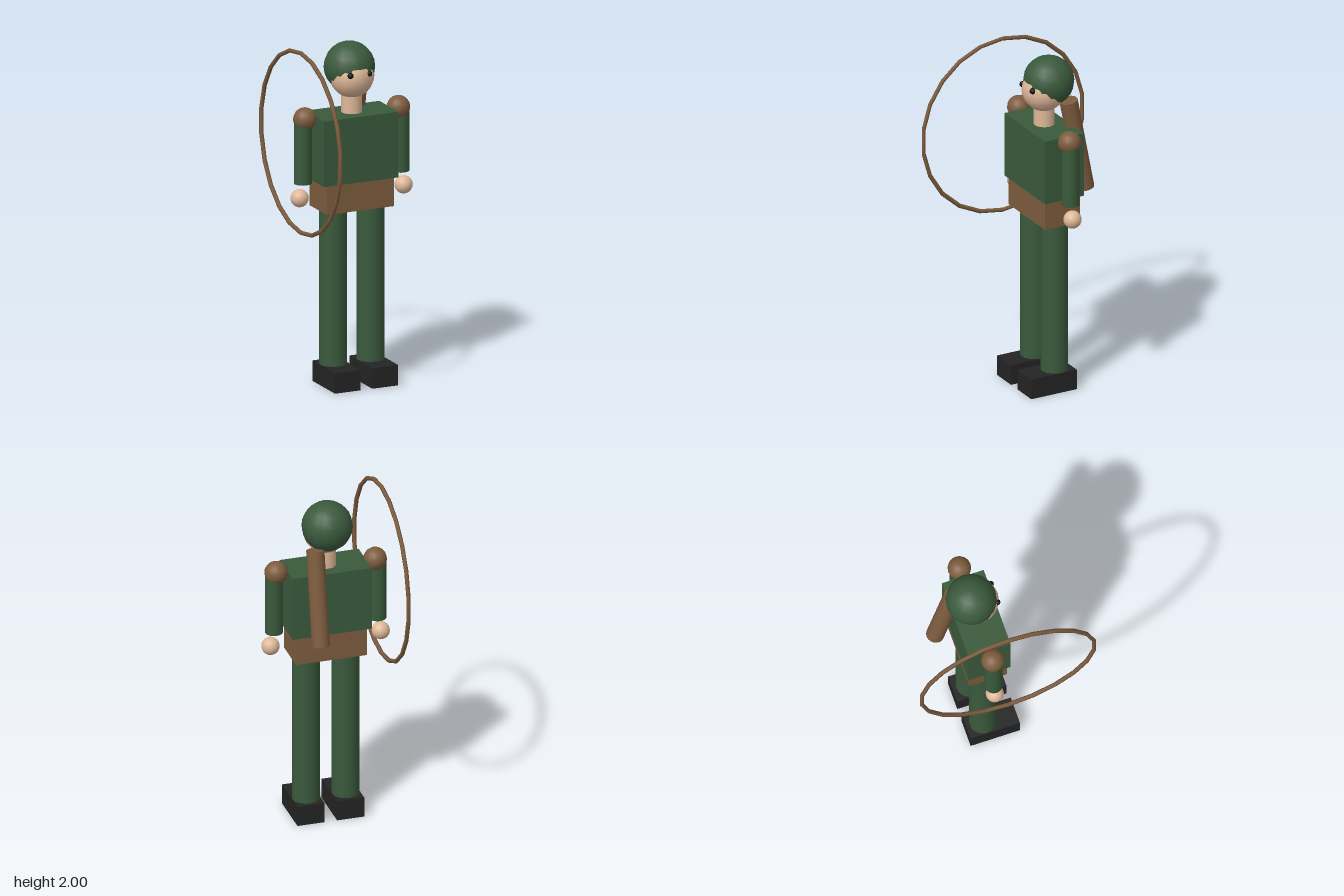
import * as THREE from 'three';

export function createModel() {
  const model = new THREE.Group();
  model.name = 'archer';
  const mat = (name, color) => {
    const m = new THREE.MeshStandardMaterial({ color });
    m.name = name;
    return m;
  };
  const green = mat('forest green', 0x3a5a3c);
  const brown = mat('leather brown', 0x7d5c3e);
  const skin = mat('skin', 0xdfb898);
  const black = mat('boot black', 0x242424);
  const dark = mat('eye black', 0x141414);

  const add = (name, geometry, material, x, y, z) => {
    const mesh = new THREE.Mesh(geometry, material);
    mesh.name = name;
    mesh.position.set(x, y, z);
    model.add(mesh);
    return mesh;
  };
  const box = (w, h, d) => new THREE.BoxGeometry(w, h, d);
  const ball = (r) => new THREE.SphereGeometry(r, 16, 12);
  const rod = (r, h) => new THREE.CylinderGeometry(r, r, h, 16);
  const Z = -0.07; // body axis

  // Trunk
  add('torso', box(0.468, 0.385, 0.25), green, 0, 1.392, Z);
  add('belt', box(0.42, 0.17, 0.225), brown, 0, 1.115, Z);

  // Neck, head and cap of hair
  add('neck', rod(0.06, 0.14), skin, 0, 1.65, Z);
  add('head', ball(0.128), skin, 0, 1.798, -0.068);
  add('cap', ball(0.146), green, 0, 1.842, -0.099);

  // Limbs, mirrored
  for (const [side, s] of [['left', 1], ['right', -1]]) {
    add(side + 'Eye', new THREE.SphereGeometry(0.018, 10, 8), dark, s * 0.058, 1.826, 0.037);
    add(side + 'Shoulder', ball(0.067), brown, s * 0.293, 1.575, Z);
    add(side + 'Arm', rod(0.051, 0.385), green, s * 0.306, 1.392, Z);
    add(side + 'Hand', ball(0.052), skin, s * 0.326, 1.115, Z);
    add(side + 'Leg', rod(0.079, 0.92), green, s * 0.117, 0.575, Z);
    add(side + 'Boot', box(0.161, 0.12, 0.294), black, s * 0.117, 0.06, -0.023);
  }

  // Quiver leaning on the back
  const quiver = add('quiver', rod(0.052, 0.565), brown, 0.094, 1.461, -0.229);
  quiver.rotation.x = 0.192;

  // Round bow at the right hand, with a vertex at the top
  const ring = new THREE.TorusGeometry(0.518, 0.0125, 6, 22);
  ring.rotateZ(Math.PI / 2);
  ring.rotateY(Math.PI / 2);
  ring.scale(1, 1.018, 1);
  add('bow', ring, brown, -0.352, 1.46, 0);

  return model;
}
